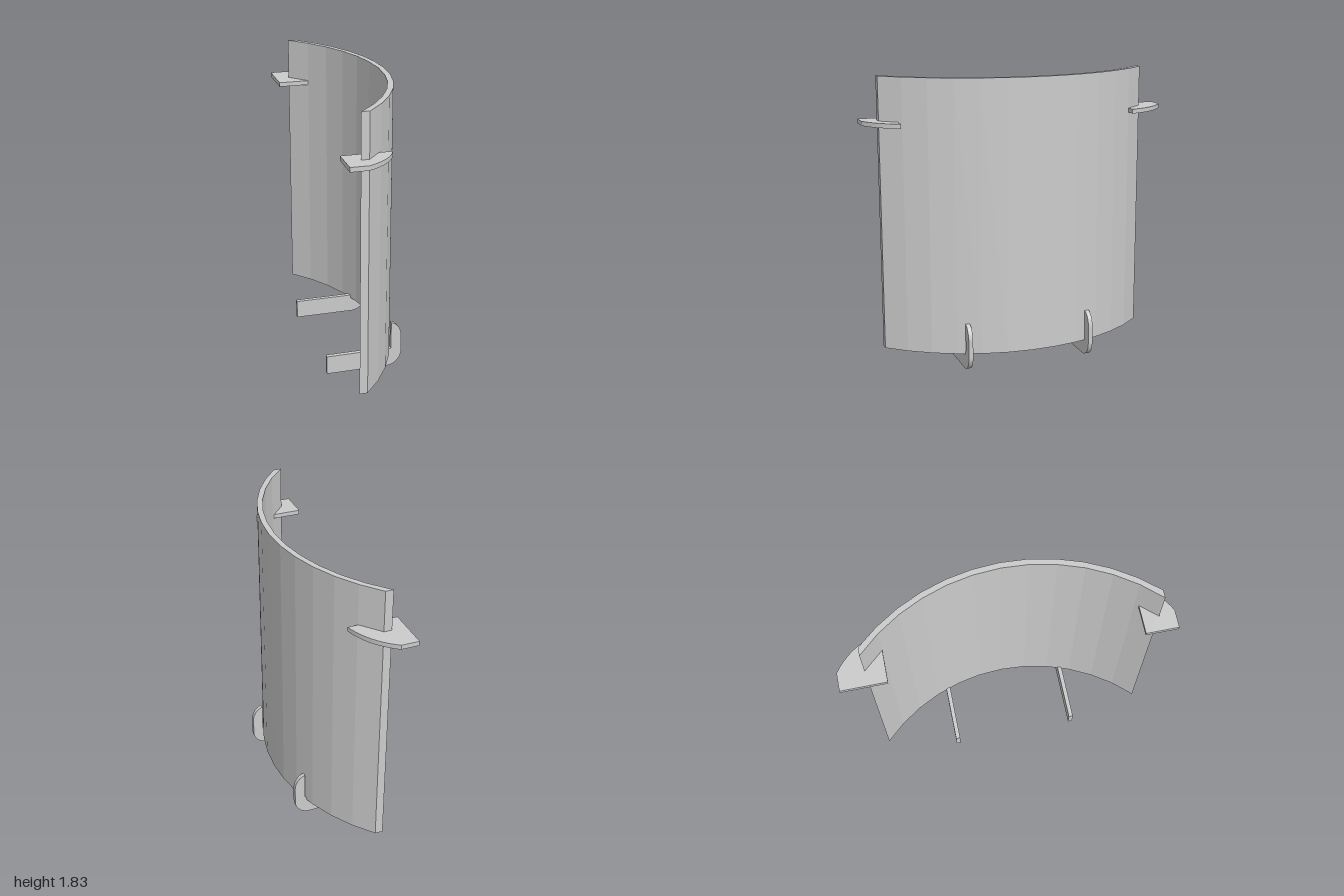
import * as THREE from 'three';

const material = new THREE.MeshStandardMaterial({ color: 0xcccccc, flatShading: true });

// Extrude a shape along its local z and name the mesh
function plate(shape, depth, name) {
  const geometry = new THREE.ExtrudeGeometry(shape, { depth, bevelEnabled: false, curveSegments: 10 });
  const mesh = new THREE.Mesh(geometry, material);
  mesh.name = name;
  return mesh;
}

// Curved screen: concentric arcs, ends cut flat across the chord
function curvedPanel() {
  const cx = -1.015, cz = 0.03, half = 0.87, segments = 12;
  const arc = (radius) => {
    const end = Math.asin(half / radius);
    return Array.from({ length: segments + 1 }, (_, i) => {
      const a = -end + (2 * end * i) / segments;
      return new THREE.Vector2(cx + radius * Math.cos(a), -cz + radius * Math.sin(a));
    });
  };
  const shape = new THREE.Shape([...arc(1.255), ...arc(1.22).reverse()]);
  const panel = plate(shape, 1.73, 'curvedPanel');
  panel.rotation.x = -Math.PI / 2;
  panel.position.y = 0.1;
  return panel;
}

// Flat corner bracket lying level; side is +1 at the front, -1 at the back
function cornerBracket(side, innerZ, y, bulge, name) {
  const s = -side; // shape y becomes -z once laid flat
  const shape = new THREE.Shape();
  shape.moveTo(-0.25, s * innerZ);
  shape.lineTo(0.055, s * innerZ);
  shape.quadraticCurveTo(bulge[0], s * bulge[1], -0.14, s);
  shape.lineTo(-0.25, s);
  shape.closePath();
  const bracket = plate(shape, 0.028, name);
  bracket.rotation.x = -Math.PI / 2;
  bracket.position.y = y;
  return bracket;
}

// L-shaped foot with a rounded heel and a rounded upright tip
function foot(z, name) {
  const shape = new THREE.Shape();
  shape.moveTo(-0.24, 0);
  shape.lineTo(0.145, 0);
  shape.absarc(0.145, 0.1, 0.1, -Math.PI / 2, 0, false);
  shape.lineTo(0.245, 0.2);
  shape.bezierCurveTo(0.245, 0.245, 0.222, 0.29, 0.178, 0.3);
  shape.lineTo(0.178, 0.12);
  shape.lineTo(-0.24, 0.12);
  shape.closePath();
  const mesh = plate(shape, 0.028, name);
  mesh.position.z = z - 0.014;
  return mesh;
}

export function createModel() {
  const model = new THREE.Group();
  model.name = 'curvedScreen';
  model.add(
    curvedPanel(),
    cornerBracket(1, 0.8, 1.529, [0.005, 0.93], 'frontBracket'),
    cornerBracket(-1, 0.72, 1.546, [0.01, 0.9], 'backBracket'),
    foot(0.438, 'frontFoot'),
    foot(-0.366, 'backFoot'),
  );
  return model;
}
